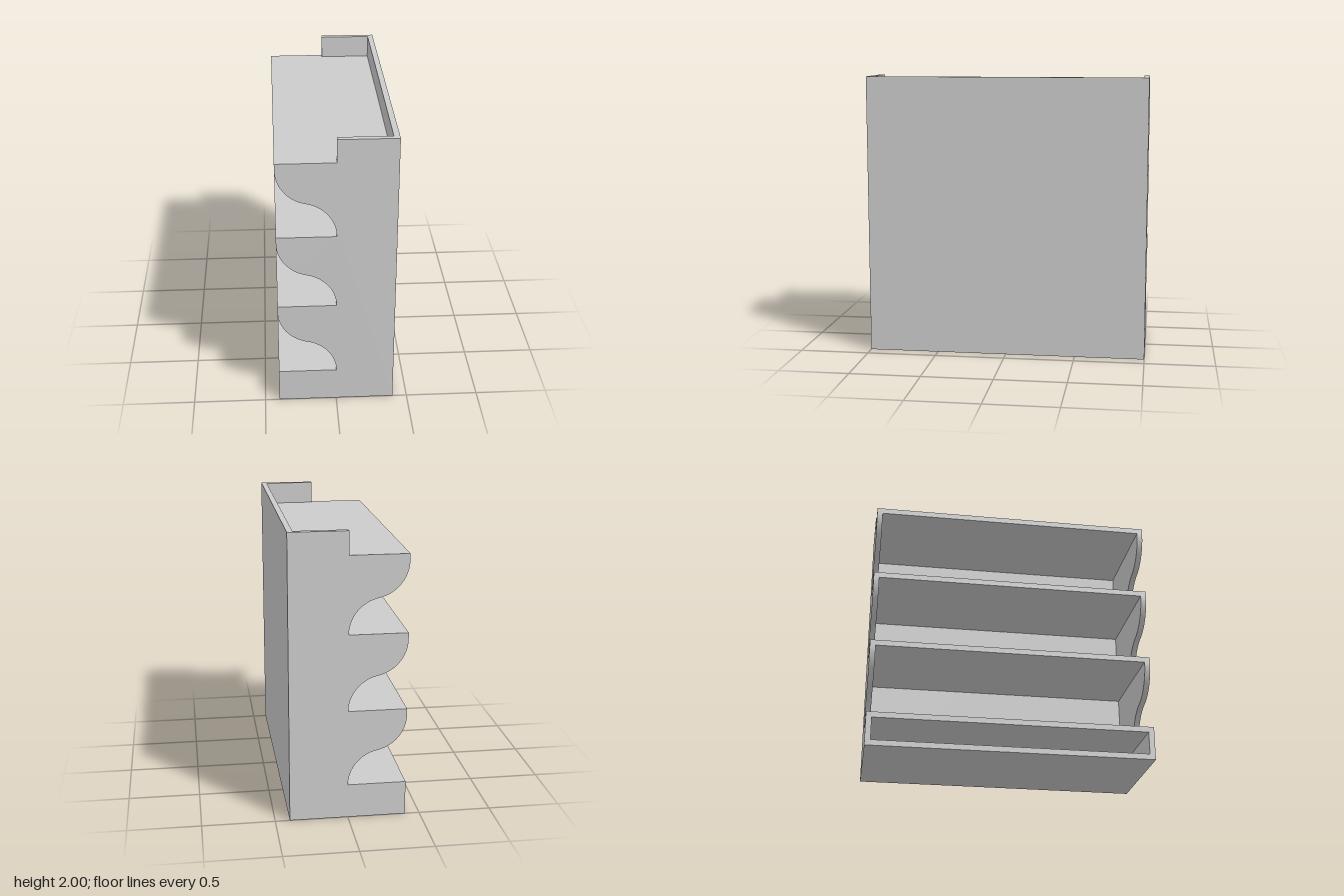
import * as THREE from 'three';

const T = 0.04; // board thickness
const FRONT = -0.4, BACK = 0.4; // open edge and closed edge in x
const BAY = 1.6 / 3; // distance between shelves
const TOPS = [0, 1, 2, 3].map((i) => 0.24 + i * BAY); // shelf top heights

// Side outline: straight back edge, three S-shaped scoops on the open edge
function sideShape() {
  const r = 0.25, a = Math.acos(0.05 / r), rise = r * Math.sin(a);
  const s = new THREE.Shape();
  s.moveTo(FRONT, 0);
  s.lineTo(BACK, 0);
  s.lineTo(BACK, 2);
  s.lineTo(0, 2);
  s.lineTo(0, TOPS[3]);
  for (let i = 3; i > 0; i--) {
    const low = TOPS[i - 1];
    s.lineTo(FRONT, TOPS[i]);
    s.absarc(-0.15, low + 2 * rise, r, Math.PI, Math.PI * 2 - (Math.PI - a), false);
    s.absarc(-0.25, low, r, a, 0, true);
  }
  s.lineTo(FRONT, TOPS[0]);
  s.closePath();
  return s;
}

export function createModel() {
  const group = new THREE.Group();
  const material = new THREE.MeshStandardMaterial({ color: 0xcccccc });

  const add = (name, geometry, x, y, z) => {
    const mesh = new THREE.Mesh(geometry, material);
    mesh.name = name;
    mesh.position.set(x, y, z);
    group.add(mesh);
  };

  // Scalloped side panels
  const side = new THREE.ExtrudeGeometry(sideShape(), { depth: T, bevelEnabled: false, curveSegments: 20 });
  add('frontSidePanel', side, 0, 0, 1 - T);
  add('rearSidePanel', side, 0, 0, -1);

  // Tall closed panel
  const inner = 2 - 2 * T;
  add('backPanel', new THREE.BoxGeometry(T, 2, inner), BACK - T / 2, 1, 0);

  // Base board and shelves between the sides
  const depth = BACK - T - FRONT;
  const board = new THREE.BoxGeometry(depth, T, inner);
  const cx = FRONT + depth / 2;
  add('baseBoard', board, cx, T / 2, 0);
  TOPS.forEach((top, i) => add(`shelf${i + 1}`, board, cx, top - T / 2, 0));

  return group;
}
